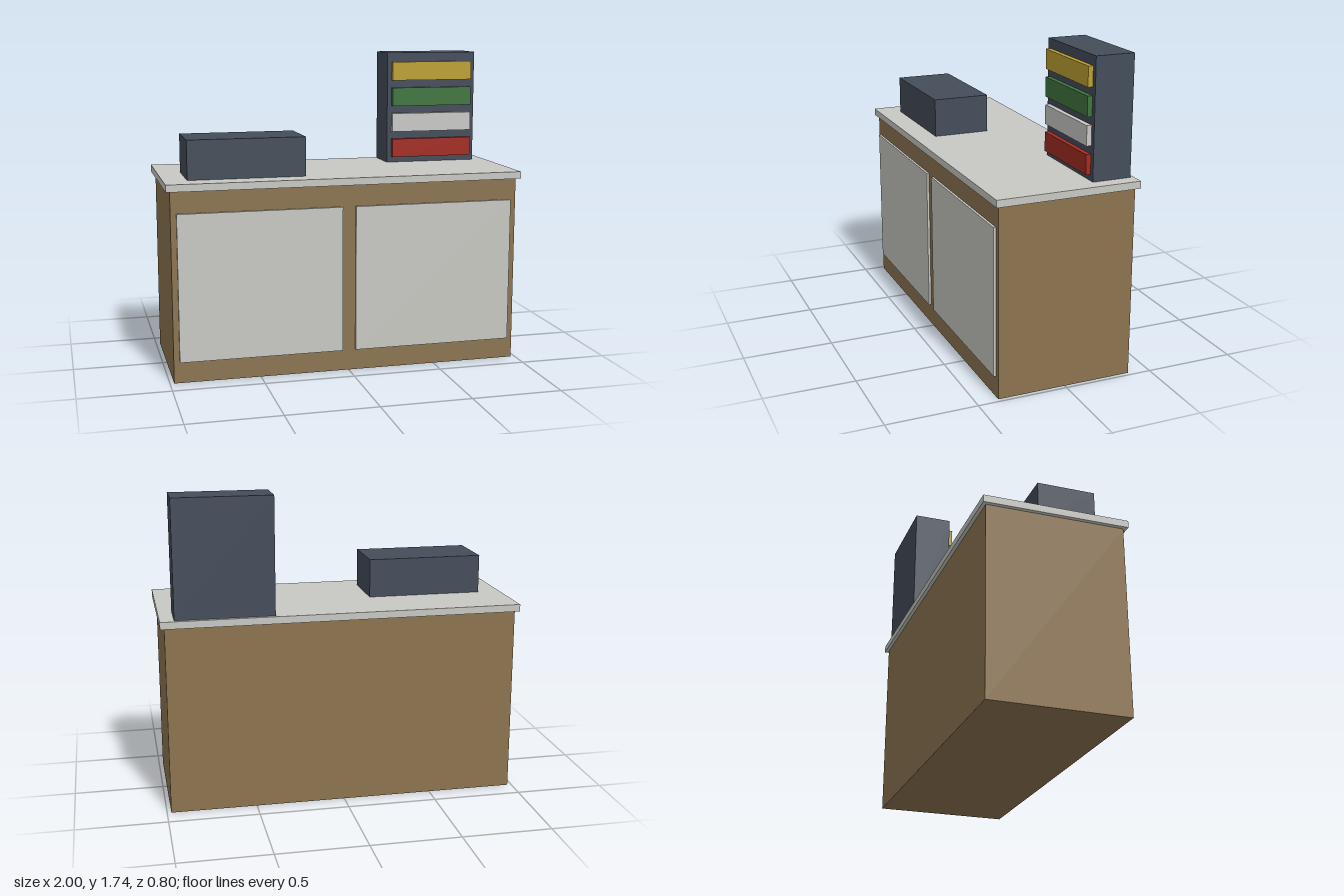
import * as THREE from 'three';

function material(name, color) {
  const m = new THREE.MeshStandardMaterial({ color });
  m.name = name;
  return m;
}

export function createModel() {
  const group = new THREE.Group();
  const wood = material('wood', 0x8c7450);
  const stone = material('pale stone', 0xc8c8c3);
  const slate = material('dark slate', 0x444d5a);
  const red = material('red', 0xa32c22);
  const white = material('white', 0xc9c9c7);
  const green = material('green', 0x3f7540);
  const yellow = material('yellow', 0xbda032);

  // Box spanning [min, max] on each axis
  function block(name, mat, [x0, x1], [y0, y1], [z0, z1]) {
    const mesh = new THREE.Mesh(new THREE.BoxGeometry(x1 - x0, y1 - y0, z1 - z0), mat);
    mesh.position.set((x0 + x1) / 2, (y0 + y1) / 2, (z0 + z1) / 2);
    mesh.name = name;
    group.add(mesh);
  }

  // Counter
  block('cabinet', wood, [-0.977, 0.977], [0, 1.05], [-0.38, 0.38]);
  block('countertop', stone, [-1, 1], [1.05, 1.09], [-0.4, 0.4]);
  block('rightDoor', stone, [-0.945, -0.037], [0.117, 0.93], [0.38, 0.393]);
  block('leftDoor', stone, [0.037, 0.945], [0.117, 0.93], [0.38, 0.393]);

  // Machine on the counter
  block('counterMachine', slate, [-0.87, -0.217], [1.09, 1.308], [-0.054, 0.271]);

  // Display rack with a coloured bar per row, bottom to top
  block('displayRack', slate, [0.38, 0.923], [1.09, 1.741], [-0.38, -0.163]);
  [['red', red], ['white', white], ['green', green], ['yellow', yellow]].forEach(([name, mat], i) => {
    const y = 1.123 + i * 0.152;
    block(name + 'ProductRow', mat, [0.406, 0.895], [y, y + 0.108], [-0.163, -0.136]);
  });

  return group;
}
